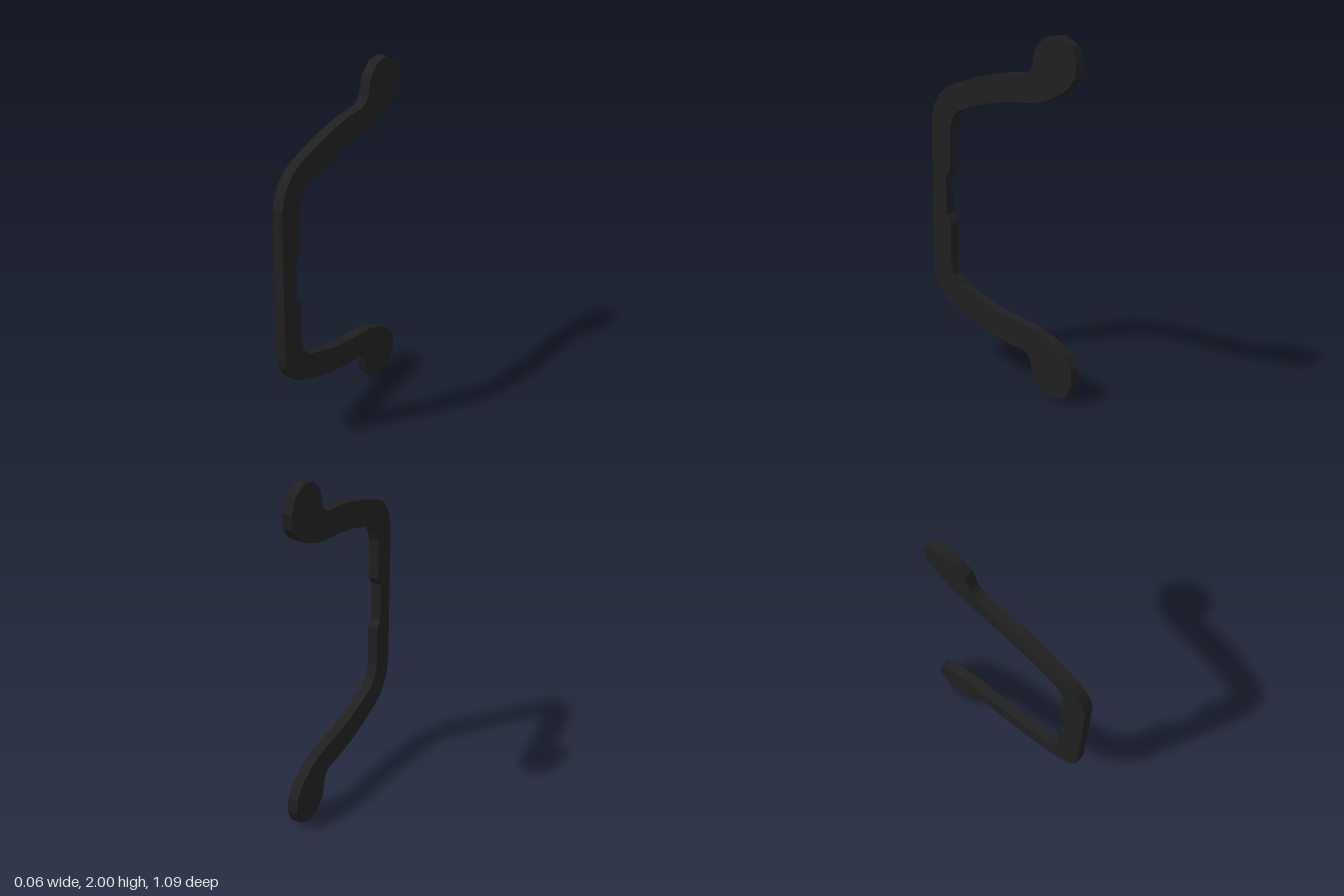
import * as THREE from 'three';

export function createModel() {
  const group = new THREE.Group();
  const black = new THREE.MeshStandardMaterial({ color: 0x202020 });
  black.name = 'matte black';

  // Upper half of the side outline as [z, y], from outer grip to inner notch
  const upper = [
    [0.545, 1.44], [0.52, 1.52], [0.485, 1.575], [0.445, 1.615], [0.38, 1.65],
    [0.2, 1.71], [0.085, 1.74], [-0.05, 1.765], [-0.175, 1.775], [-0.21, 1.79],
    [-0.235, 1.82], [-0.245, 1.87], [-0.265, 1.93], [-0.325, 1.985], [-0.415, 2],
    [-0.505, 1.96], [-0.545, 1.88], [-0.535, 1.79], [-0.48, 1.725], [-0.38, 1.67],
    [-0.275, 1.635], [-0.155, 1.62], [-0.05, 1.61], [0.08, 1.585], [0.2, 1.55],
    [0.32, 1.51], [0.37, 1.465], [0.395, 1.4], [0.395, 1.16], [0.41, 1.135], [0.43, 1.115],
  ];
  // The lower half mirrors the upper about y = 1
  const lower = upper.map(([z, y]) => [z, 2 - y]).reverse();
  const shape = new THREE.Shape([...upper, ...lower].map(([z, y]) => new THREE.Vector2(z, y)));

  // Flat plate, turned so that the outline lies in the z-y plane
  const width = 0.06;
  const geometry = new THREE.ExtrudeGeometry(shape, { depth: width, bevelEnabled: false });
  geometry.translate(0, 0, -width / 2);
  geometry.rotateY(-Math.PI / 2);

  const handle = new THREE.Mesh(geometry, black);
  handle.name = 'curvedHandle';
  group.add(handle);
  return group;
}
